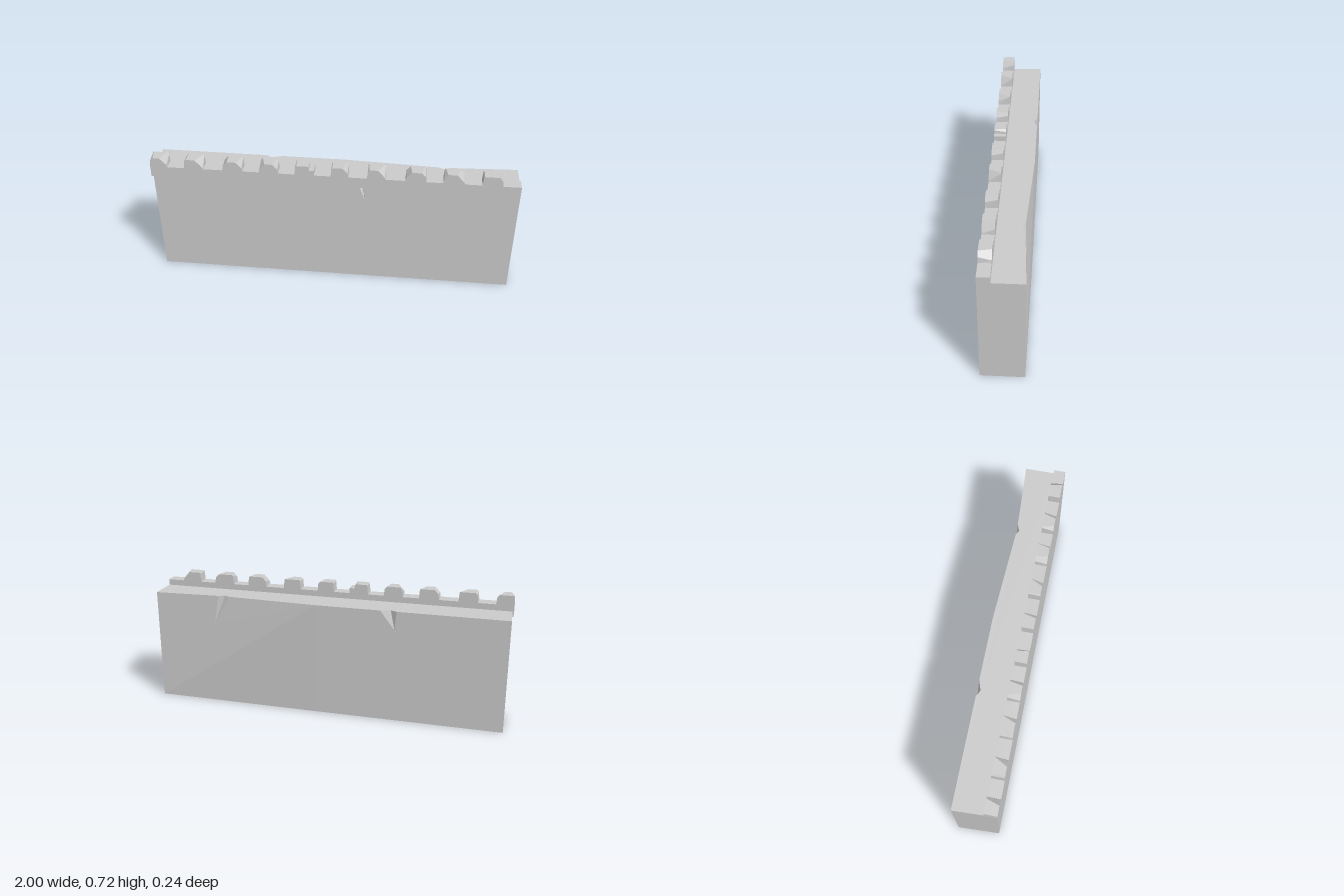
import * as THREE from 'three';

const material = new THREE.MeshStandardMaterial({ color: 0xcccccc, flatShading: true });
const V = (x, y, z) => new THREE.Vector3(x, y, z);

// Collects flat polygons; each is wound so that it faces along the hint n
class Facets {
  constructor() { this.pos = []; }
  face(pts, n) {
    const [ax, ay, az] = [Math.abs(n.x), Math.abs(n.y), Math.abs(n.z)];
    const flat = pts.map(p => az >= ax && az >= ay ? new THREE.Vector2(p.x, p.y)
      : ay >= ax ? new THREE.Vector2(p.x, p.z) : new THREE.Vector2(p.z, p.y));
    for (const [a, b, c] of THREE.ShapeUtils.triangulateShape(flat, [])) {
      const normal = pts[b].clone().sub(pts[a]).cross(pts[c].clone().sub(pts[a]));
      const order = normal.dot(n) < 0 ? [a, c, b] : [a, b, c];
      for (const i of order) this.pos.push(pts[i].x, pts[i].y, pts[i].z);
    }
  }
  // Solid between a front and a back outline, both counter-clockwise from the front
  loft(front, back) {
    this.face(front, V(0, 0, 1));
    this.face(back, V(0, 0, -1));
    front.forEach((p, i) => {
      const j = (i + 1) % front.length;
      const n = V(front[j].y - p.y, p.x - front[j].x, 0);
      this.face([p, front[j], back[j]], n);
      this.face([p, back[j], back[i]], n);
    });
  }
  mesh(name) {
    const g = new THREE.BufferGeometry();
    g.setAttribute('position', new THREE.Float32BufferAttribute(this.pos, 3));
    g.computeVertexNormals();
    const m = new THREE.Mesh(g, material);
    m.name = name;
    return m;
  }
}

const TOP = 0.635, LEDGE = 0.605, BASE = 0.668, CREST = 0.721;
const FRONT = 0.115, INNER = 0.05;
// The parapet overhangs slightly towards the -x end
const parapetZ = x => FRONT + 0.005 * Math.max(0, -x);

function buildWall() {
  const f = new Facets();
  const out = V(0, 0, 1), back = V(0, 0, -1), up = V(0, 1, 0);

  // Chips: two rim points, the bottom tip and the deepest point
  const chipA = { a: V(0.63, TOP, -0.092), b: V(0.565, TOP, -0.092), tip: V(0.655, 0.47, -0.1), deep: V(0.595, TOP, -0.077) };
  const chipB = { a: V(-0.31, TOP, -0.117), b: V(-0.4, TOP, -0.117), tip: V(-0.39, 0.53, -0.117), deep: V(-0.365, TOP, -0.098) };
  const chipC = { a: V(0.148, LEDGE, FRONT), b: V(0.17, LEDGE, FRONT), tip: V(0.176, 0.53, FRONT), deep: V(0.165, LEDGE, 0.1) };
  for (const [c, n] of [[chipA, back], [chipB, back], [chipC, out]]) {
    f.face([c.a, c.deep, c.tip], n);
    f.face([c.deep, c.b, c.tip], n);
  }

  // Front
  f.face([V(-0.99, 0, FRONT), V(1, 0, FRONT), V(1, LEDGE, FRONT),
    chipC.b, chipC.tip, chipC.a, V(-0.99, LEDGE, FRONT)], out);

  // Back, with a worn upper edge
  const foot = [V(1, 0, -0.113), V(0.05, 0, -0.117), V(-1, 0, -0.117)];
  const cornerR = V(1, TOP, -0.113), mid = V(0.05, TOP, -0.117), cornerL = V(-1, TOP, -0.117);
  f.face([foot[0], cornerR, chipA.a, chipA.tip, chipA.b, mid, foot[1]], back);
  f.face([foot[1], mid, chipB.a, chipB.tip, chipB.b, cornerL, foot[2]], back);

  // Walkway and underside
  f.face([V(-0.993, TOP, INNER), V(1, TOP, INNER), cornerR, chipA.a, chipA.deep, chipA.b,
    mid, chipB.a, chipB.deep, chipB.b, cornerL], up);
  f.face([V(-0.99, 0, FRONT), V(1, 0, FRONT), ...foot], V(0, -1, 0));

  // Ends, stepped to receive the parapet
  for (const [s, xf, xi, zb] of [[1, 1, 1, -0.113], [-1, -0.99, -0.993, -0.117]])
    f.face([V(xf, 0, FRONT), V(s, 0, zb), V(s, TOP, zb), V(xi, TOP, INNER),
      V(xi, LEDGE, INNER), V(xf, LEDGE, FRONT)], V(s, 0, 0));
  return f.mesh('wall');
}

// Straight-sided slab of parapet between two x positions
function slab(name, x0, x1, y0, y1) {
  const outline = z => [[x0, y0], [x1, y0], [x1, y1], [x0, y1]].map(([x, y]) => V(x, y, z(x)));
  const f = new Facets();
  f.loft(outline(parapetZ), outline(() => INNER));
  return f.mesh(name);
}

// Merlon whose upper corners are broken off by given amounts
function buildMerlon([x0, x1, frontL, frontR, backL, backR]) {
  const outline = (l, r, z) => [
    [x0, BASE], [x1, BASE], [x1 - 0.004, CREST - r * 1.1], [x1 - 0.004 - r, CREST],
    [x0 + 0.004 + l, CREST], [x0 + 0.004, CREST - l * 1.1],
  ].map(([x, y]) => V(x, y, z(x)));
  const f = new Facets();
  f.loft(outline(frontL, frontR, parapetZ), outline(backL, backR, () => INNER));
  return f.mesh('merlon');
}

export function createModel() {
  const group = new THREE.Group();
  group.name = 'battlementWall';
  group.add(buildWall());
  group.add(slab('parapetOverhang', -1, 0, LEDGE, BASE), slab('parapetFlush', 0, 1, LEDGE, BASE));

  // x start, x end, chips: front -x, front +x, back -x, back +x
  const merlons = [
    [-1.0, -0.905, 0.015, 0.035, 0.003, 0.012],
    [-0.81, -0.705, 0.008, 0.04, 0.01, 0.003],
    [-0.6, -0.49, 0.025, 0.03, 0.02, 0.003],
    [-0.4, -0.295, 0.03, 0.025, 0.01, 0.012],
    [-0.205, -0.125, 0.006, 0.004, 0.004, 0.012],
    [-0.01, 0.085, 0.005, 0.025, 0.004, 0.01],
    [0.185, 0.285, 0.01, 0.038, 0.004, 0.003],
    [0.39, 0.5, 0.03, 0.02, 0.02, 0.004],
    [0.59, 0.705, 0.02, 0.04, 0.006, 0.02],
    [0.795, 0.905, 0.004, 0.02, 0.004, 0.035],
  ];
  for (const m of merlons) group.add(buildMerlon(m));
  // Broken stub beside the fifth merlon
  group.add(slab('brokenStub', -0.13, -0.1, BASE, 0.697));
  return group;
}
